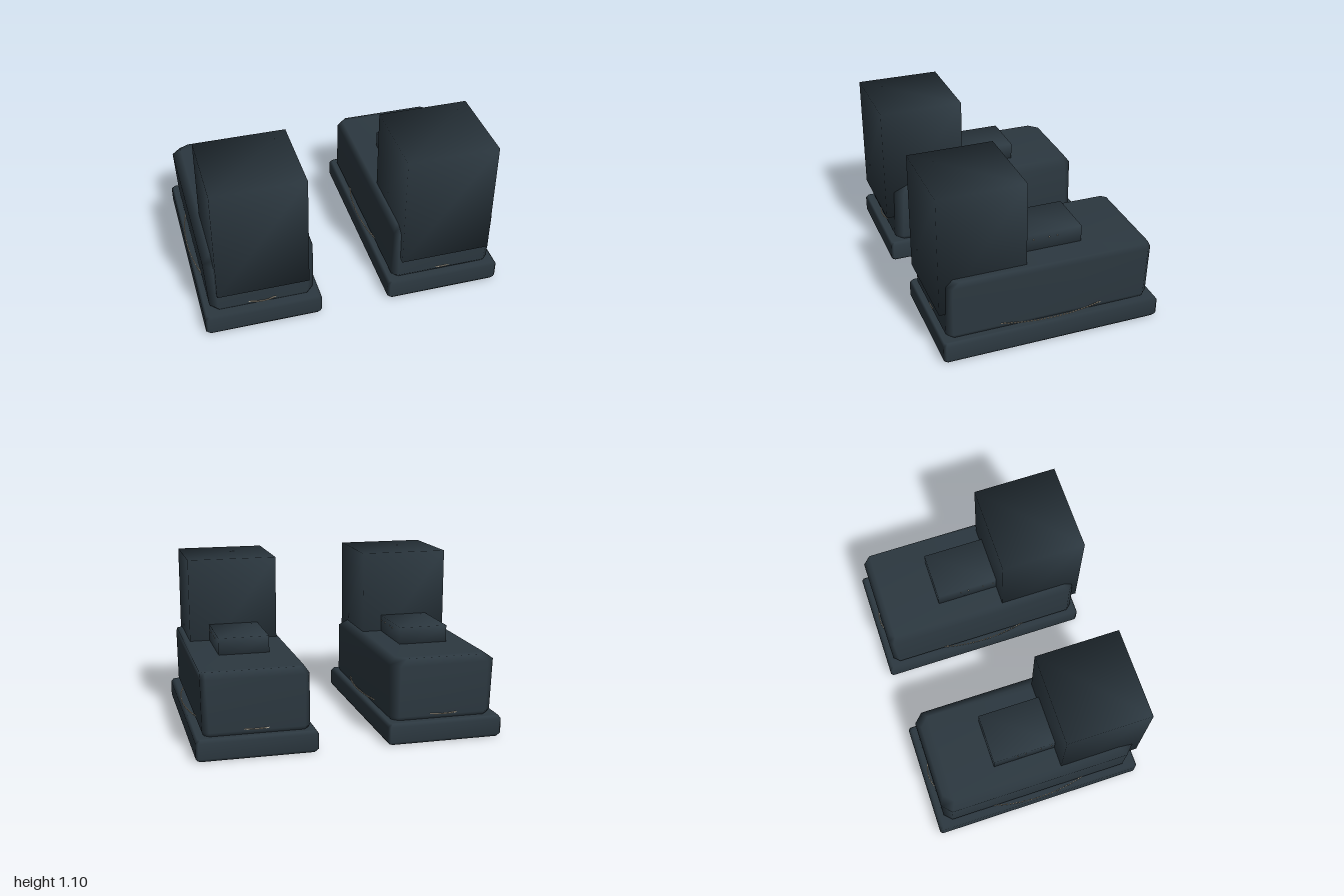
import * as THREE from 'three';
import { mergeVertices } from 'three/addons/utils/BufferGeometryUtils.js';

const leather = new THREE.MeshStandardMaterial({ color: 0x2c3840 });
leather.name = 'dark leather';
const thread = new THREE.MeshStandardMaterial({ color: 0xb5ac9a });
thread.name = 'pale thread';

function addMesh(parent, name, geometry, material = leather) {
  const mesh = new THREE.Mesh(geometry, material);
  mesh.name = name;
  parent.add(mesh);
  return mesh;
}

// Box given by its limits, with normals shared across the corners
function softBox(x0, x1, y0, y1, z0, z1) {
  let g = new THREE.BoxGeometry(x1 - x0, y1 - y0, z1 - z0);
  g.translate((x0 + x1) / 2, (y0 + y1) / 2, (z0 + z1) / 2);
  g.deleteAttribute('normal');
  g.deleteAttribute('uv');
  g = mergeVertices(g);
  g.computeVertexNormals();
  return g;
}

// Stack of rectangles with cut corners; each level is [y, x0, x1, z0, z1, cut]
function loft(levels) {
  const pos = [], idx = [], n = 8;
  for (const [y, x0, x1, z0, z1, c] of levels) {
    const ring = [[x1, z0 + c], [x1, z1 - c], [x1 - c, z1], [x0 + c, z1],
      [x0, z1 - c], [x0, z0 + c], [x0 + c, z0], [x1 - c, z0]];
    for (const [x, z] of ring) pos.push(x, y, z);
  }
  for (let l = 0; l < levels.length - 1; l++) {
    for (let i = 0; i < n; i++) {
      const a = l * n + i, b = l * n + (i + 1) % n;
      idx.push(a, a + n, b, b, a + n, b + n);
    }
  }
  const top = (levels.length - 1) * n;
  for (let i = 1; i < n - 1; i++) {
    idx.push(0, i, i + 1);
    idx.push(top, top + i + 1, top + i);
  }
  const g = new THREE.BufferGeometry();
  g.setAttribute('position', new THREE.Float32BufferAttribute(pos, 3));
  g.setIndex(idx);
  g.computeVertexNormals();
  return g;
}

// One boot, centred on x = 0; the body levels differ between the two
function makeBoot(name, bodyLevels) {
  const boot = new THREE.Group();
  boot.name = name;

  addMesh(boot, 'sole', loft([
    [0, -0.37, 0.37, -0.71, 0.71, 0.015],
    [0.02, -0.385, 0.385, -0.725, 0.72, 0.015],
    [0.12, -0.385, 0.385, -0.725, 0.72, 0.015],
    [0.14, -0.37, 0.37, -0.71, 0.71, 0.015],
  ]));
  addMesh(boot, 'body', loft(bodyLevels));
  addMesh(boot, 'shaft', softBox(-0.298, 0.298, 0.305, 1.1, 0.157, 0.72));
  addMesh(boot, 'tongue', softBox(-0.165, 0.165, 0.48, 0.655, -0.263, 0.18));

  // Oval welt stitching that breaks through the sides, toe and heel
  const count = 200;
  const stitches = new THREE.InstancedMesh(new THREE.BoxGeometry(0.007, 0.007, 0.007), thread, 0);
  stitches.geometry.dispose();
  const welt = new THREE.Group();
  welt.name = 'weltStitching';
  const stitch = new THREE.BoxGeometry(0.007, 0.006, 0.014);
  for (let i = 0; i < count; i++) {
    const t = i / count * Math.PI * 2;
    const s = addMesh(welt, 'stitch', stitch, thread);
    s.position.set(0.383 * Math.cos(t), 0.175, 0.686 * Math.sin(t));
    s.rotation.y = Math.atan2(-0.383 * Math.sin(t), 0.686 * Math.cos(t));
  }
  boot.add(welt);

  // Tiny thread ends on the sides of the tongue
  for (const side of [-1, 1]) {
    for (const z of [-0.1, -0.045, 0.06, 0.132]) {
      const e = addMesh(boot, 'laceEnd', new THREE.BoxGeometry(0.006, 0.006, 0.006), thread);
      e.position.set(side * 0.165, 0.622, z);
    }
  }
  return boot;
}

export function createModel() {
  const model = new THREE.Group();
  model.name = 'boots';

  const left = makeBoot('leftBoot', [
    [0.13, -0.33, 0.32, -0.66, 0.66, 0.03],
    [0.165, -0.347, 0.335, -0.675, 0.685, 0.04],
    [0.5, -0.34, 0.34, -0.678, 0.675, 0.03],
    [0.545, -0.31, 0.34, -0.655, 0.63, 0.03],
  ]);
  left.position.x = 0.61;

  const right = makeBoot('rightBoot', [
    [0.13, -0.32, 0.335, -0.65, 0.65, 0.04],
    [0.165, -0.34, 0.348, -0.67, 0.67, 0.05],
    [0.5, -0.358, 0.352, -0.67, 0.665, 0.06],
    [0.542, -0.3, 0.3, -0.64, 0.62, 0.06],
  ]);
  right.position.x = -0.612;

  model.add(left, right);
  return model;
}
